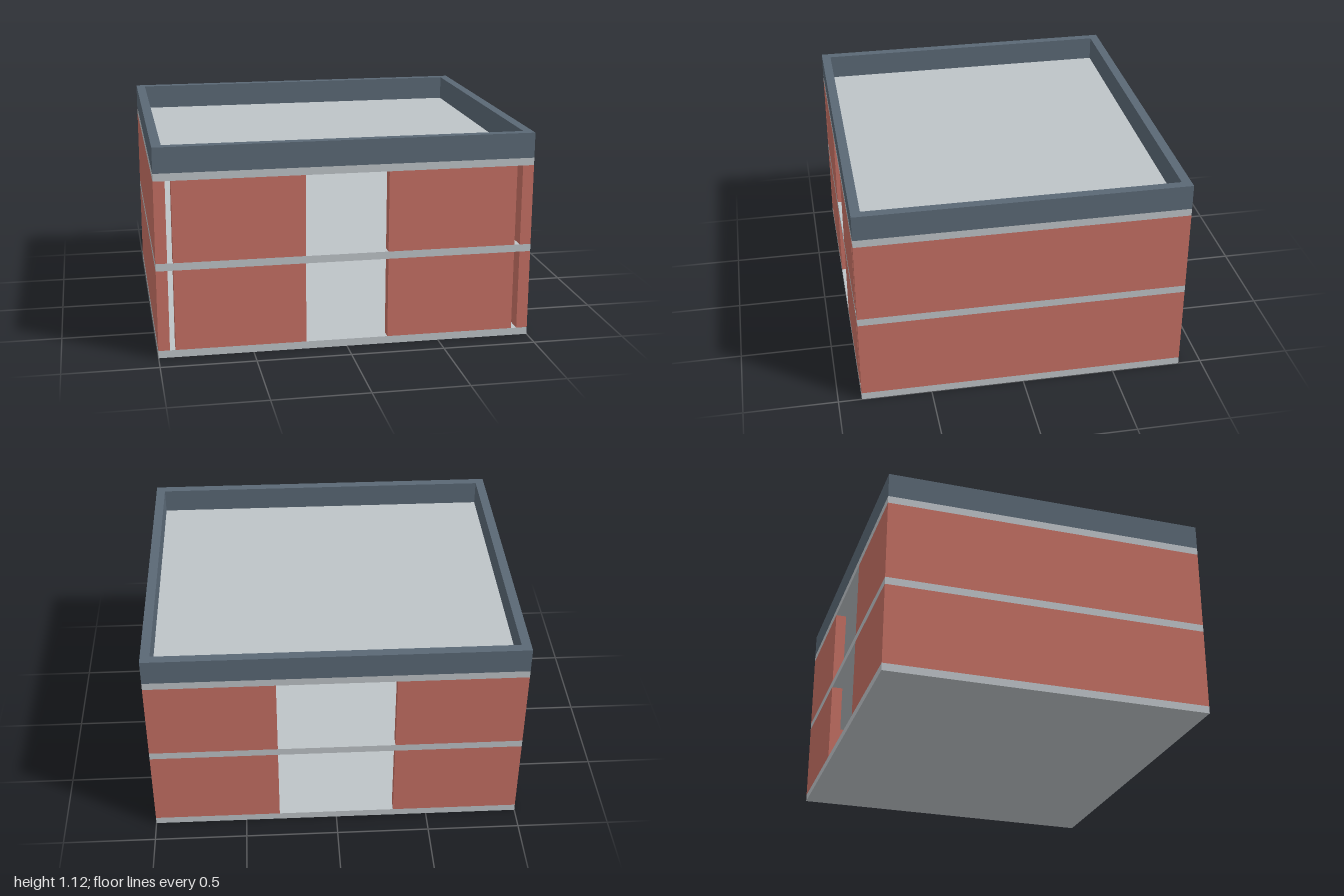
import * as THREE from 'three';

const W = 2, D = 1.75;            // footprint
const SLAB = 0.04, STOREY = 0.475; // slab thickness, floor-to-floor height
const WALL = 0.06, RIM = 0.05;     // wall and parapet thickness
const PARAPET = 0.135;

const material = (name, color) => {
  const m = new THREE.MeshStandardMaterial({ color });
  m.name = name;
  return m;
};

export function createModel() {
  const concrete = material('pale concrete', 0xbdc3c7);
  const brick = material('red brick', 0xc46f63);
  const slate = material('slate grey', 0x5a6875);

  const model = new THREE.Group();
  model.name = 'twoStoreyBuilding';

  // Box given by its lower and upper limits
  const box = (parent, name, mat, [x0, x1], [y0, y1], [z0, z1]) => {
    const mesh = new THREE.Mesh(new THREE.BoxGeometry(x1 - x0, y1 - y0, z1 - z0), mat);
    mesh.position.set((x0 + x1) / 2, (y0 + y1) / 2, (z0 + z1) / 2);
    mesh.name = name;
    parent.add(mesh);
  };
  // Range mirrored to the given side of x = 0
  const side = (s, a, b) => (s > 0 ? [a, b] : [-b, -a]);

  const hx = W / 2, hz = D / 2;

  // Floor slabs and roof slab
  ['groundSlab', 'upperFloorSlab', 'roofSlab'].forEach((name, i) =>
    box(model, name, concrete, [-hx, hx], [i * STOREY, i * STOREY + SLAB], [-hz, hz]));

  // Walls of each storey
  for (let i = 0; i < 2; i++) {
    const storey = new THREE.Group();
    storey.name = i ? 'upperStorey' : 'groundStorey';
    model.add(storey);
    const y = [i * STOREY + SLAB, (i + 1) * STOREY];
    for (const s of [1, -1]) {
      const label = s > 0 ? 'Left' : 'Right';
      box(storey, 'sideWall' + label, brick, side(s, hx - WALL, hx), y, [-hz, hz]);
      // front panels stop short of the side walls, leaving a narrow slot
      box(storey, 'frontWall' + label, brick, side(s, 0.22, 0.91), y, [hz - WALL, hz]);
      // back panels leave a wider opening
      box(storey, 'backWall' + label, brick, side(s, 0.315, hx - WALL), y, [-hz, -hz + WALL]);
    }
  }

  // Parapet around the roof
  const yp = [2 * STOREY + SLAB, 2 * STOREY + SLAB + PARAPET];
  const parapet = new THREE.Group();
  parapet.name = 'parapet';
  model.add(parapet);
  for (const s of [1, -1]) {
    box(parapet, s > 0 ? 'parapetFront' : 'parapetBack', slate, [-hx, hx], yp, side(s, hz - RIM, hz));
    box(parapet, s > 0 ? 'parapetLeft' : 'parapetRight', slate, side(s, hx - RIM, hx), yp, [-hz + RIM, hz - RIM]);
  }

  return model;
}
